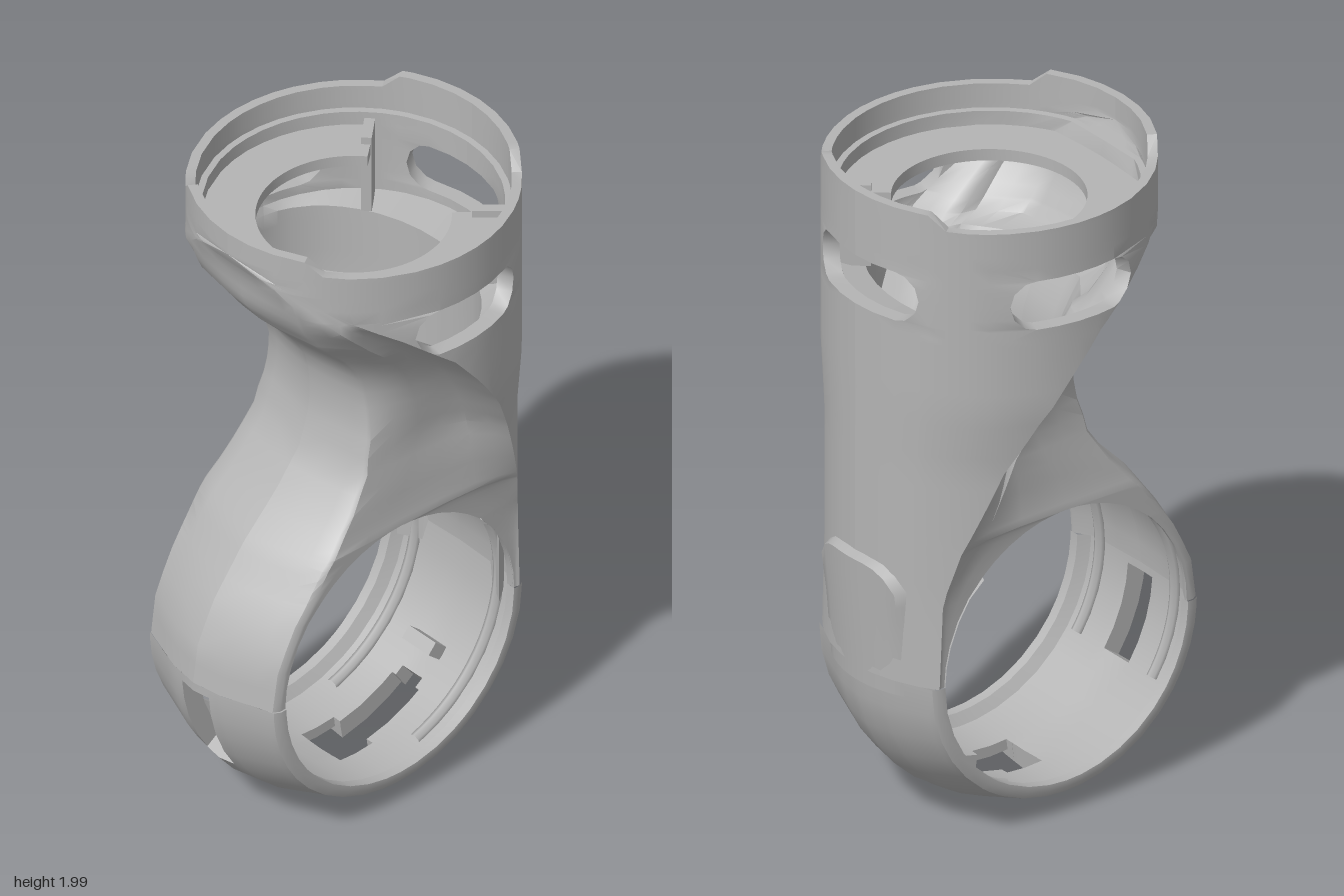
import * as THREE from 'three';
import { toCreasedNormals } from 'three/addons/utils/BufferGeometryUtils.js';

const CX = 0.045, R = 0.465;             // upright tube: axis x and radius
const RX = -0.02, RY = 0.53, RI = 0.42;  // clamp ring: centre and bore radius
const rad = THREE.MathUtils.degToRad, lerp = THREE.MathUtils.lerp;

// Piecewise linear lookup; keys descend
function table(keys, y) {
  if (y >= keys[0][0]) return keys[0][1];
  for (let i = 1; i < keys.length; i++) {
    const [y0, a] = keys[i - 1], [y1, b] = keys[i];
    if (y >= y1) return lerp(b, a, (y - y1) / (y0 - y1));
  }
  return keys[keys.length - 1][1];
}

// Thick wall over a grid of outer and inner points, with holes where solid() is false
function shell(rows, cols, outer, inner, solid, mirror) {
  const pos = [];
  const tri = (a, b, c) => {
    const n = b.clone().sub(a).cross(c.clone().sub(a));
    if (n.length() > 1e-9) [a, b, c].forEach(p => pos.push(p.x, p.y, p.z));
  };
  const quad = (a, b, c, d) => {
    if (mirror) [b, d] = [d, b];
    tri(a, b, c); tri(a, c, d);
  };
  const flip = p => (mirror ? new THREE.Vector3(p.x, p.y, -p.z) : p);
  const P = [], Q = [];
  for (let i = 0; i < rows; i++) {
    P.push([]); Q.push([]);
    for (let j = 0; j < cols; j++) {
      P[i].push(flip(outer(i, j))); Q[i].push(flip(inner(i, j)));
    }
  }
  for (let i = 0; i < rows - 1; i++) for (let j = 0; j < cols - 1; j++) {
    if (!solid(i, j)) continue;
    const k = [[i, j], [i, j + 1], [i + 1, j + 1], [i + 1, j]];
    quad(...k.map(([a, b]) => P[a][b]));
    quad(...k.map(([a, b]) => Q[a][b]).reverse());
    [[i - 1, j], [i, j + 1], [i + 1, j], [i, j - 1]].forEach(([a, b], n) => {
      if (solid(a, b)) return;
      const [s, t] = [k[n], k[(n + 1) % 4]];
      quad(P[t[0]][t[1]], P[s[0]][s[1]], Q[s[0]][s[1]], Q[t[0]][t[1]]);
    });
  }
  const g = new THREE.BufferGeometry();
  g.setAttribute('position', new THREE.Float32BufferAttribute(pos, 3));
  return toCreasedNormals(g, rad(38));
}

// Body curves by height: scoop edge, throat outline, throat half-width, side half-width
const EDGE = [[1.93, -0.42], [1.87, -0.36], [1.79, -0.25], [1.72, -0.14], [1.6, 0.01], [1.48, 0.11],
  [1.35, 0.2], [1.2, 0.28], [1.07, 0.33], [0.95, 0.375], [0.8, 0.41], [0.53, 0.42]];
const LEFT = [[1.93, -0.42], [1.86, -0.385], [1.74, -0.365], [1.65, -0.3], [1.52, -0.175], [1.45, -0.135],
  [1.38, -0.118], [1.27, -0.118], [1.15, -0.155], [1.04, -0.24], [0.92, -0.36], [0.77, -0.475], [0.65, -0.53], [0.53, -0.547]];
const THROAT = [[1.74, 0.22], [1.4, 0.2], [1.1, 0.24], [0.95, 0.265], [0.53, 0.265]];
const SIDE = [[1.8, 0.33], [1.6, 0.31], [1.4, 0.265], [1.2, 0.24], [1.0, 0.255], [0.95, 0.265], [0.53, 0.265]];
const FLAT = [[1.4, 0.99], [1.2, 0.93], [0.95, 0.93], [0.8, 0.93], [0.53, 0.964]];
const BORE = [[1.881, 0.94], [1.88, 0.9], [1.62, 0.9], [1.6, 0.66], [0.53, 0.66]];
// Barrel profile of the ring and its recessed inside: [z, radius]
const BARREL = [[0.265, 0.44], [0.255, 0.458], [0.2, 0.477], [0.1, 0.512], [0, 0.527]];
const RECESS = [[0.235, RI], [0.215, 0.452], [0, 0.46]];

const ROWS = [2, 1.94, 1.93, 1.9, 1.881, 1.88, 1.84, 1.8, 1.793, 1.765, 1.725, 1.685, 1.657, 1.65, 1.62, 1.6, 1.55,
  1.5, 1.45, 1.4, 1.35, 1.3, 1.25, 1.2, 1.15, 1.1, 1.05, 1, 0.97, 0.95, 0.948, 0.94, 0.925, 0.9, 0.87, 0.841, 0.83,
  0.78, 0.72, 0.65, 0.59, 0.53];
const ARC = [0, 9, 18.5, 28, 31.5, 38, 46, 53, 60, 69.5, 77, 85, 93, 100.5, 110, 122, 133, 142, 148.5, 160, 170, 180];
const NA = ARC.length, GAP = NA + 3;      // GAP: last column before the ring opening
const NC = NA + 4 + 2 + 5;
const WINDOWS = [[0, 28], [60, 110]];
const chord = (r, y) => Math.sqrt(Math.max(0, r * r - (y - RY) ** 2));

function bodyOuter(i, j) {
  const y = ROWS[i];
  const e = table(EDGE, y), l = table(LEFT, y), s = table(FLAT, y);
  const aEnd = Math.acos(THREE.MathUtils.clamp((e - CX) / R, -1, 1));
  if (j < NA) {
    let a = ARC[j];
    // Rounded window ends
    if (y <= 1.8 && y >= 1.65) {
      const b = (0.075 - Math.sqrt(Math.max(0, 0.075 ** 2 - (y - 1.725) ** 2))) / R * 180 / Math.PI;
      if (a === 28 || a === 110) a -= b;
      if (a === 60) a += b;
    }
    a = Math.min(rad(a), aEnd);
    // Raised lips at both ends of the rim
    const h = i ? y : table([[0.62, 1.955], [0.52, 2]], Math.sin(a));
    return new THREE.Vector3(CX + R * Math.cos(a), h, R * s * Math.sin(a));
  }
  // Scooped surfaces never reach outside the tube
  const V = (x, z) => {
    const limit = y > 1.4 ? 0.99 * Math.sqrt(Math.max(0, R * R - (x - CX) ** 2)) : 1;
    return new THREE.Vector3(x, y, Math.min(z, limit));
  };
  const w = R * s * Math.sin(aEnd), zs = Math.min(table(SIDE, y), w * 0.98);
  const t = Math.min(table(THROAT, y), zs);
  const half = chord(RI, y);
  const mid = lerp(RX, (e + l) / 2, THREE.MathUtils.smoothstep(y, 0.95, 1.25));
  const hR = y < 0.95 ? RX + half : mid, hL = y < 0.95 ? RX - half : mid;
  const n = j - NA;
  if (n < 4) {                            // scooped side down to the opening
    const u = [0.12, 0.3, 0.6, 1][n], d = [0.38, 0.74, 0.94, 1][n];
    return V(lerp(e, hR, u), lerp(w, zs, d));
  }
  const c = table([[1.9, 0], [1.75, 0.4], [1.2, 0.4], [0.8, 1], [0.53, 1]], y);
  const face = k => V(l + c * (0.527 - BARREL[k][1]), t * BARREL[k][0] / 0.265);
  if (n === 4) return V(hL, zs);
  if (n === 5) return V(lerp(hL, face(0).x, 0.5), lerp(zs, t, 0.5));
  return face(n - 6);
}

function bodyInner(i, j) {
  const y = ROWS[i], p = bodyOuter(i, j), k = table(BORE, y);
  const half = chord(table(RECESS, p.z), y);
  const q = new THREE.Vector3(CX + (p.x - CX) * k, p.y, p.z * Math.max(k, 0.87));
  if (y < 0.95 && j > GAP) q.set(RX - half, y, p.z);
  else if (y < 0.84) q.set(RX + half, y, p.z);
  else if (y < 0.95) q.x = Math.max(q.x, RX + chord(RI, y));
  return q;
}

function bodySolid(i, j) {
  if (i < 0) return false;
  if (j < 0 || j >= NC - 1 || i >= ROWS.length - 1) return true;
  if (j === GAP) return ROWS[i + 1] >= 0.95;
  const inWindow = ROWS[i] <= 1.8 && ROWS[i + 1] >= 1.65;
  return !(inWindow && j < NA - 1 && WINDOWS.some(([a, b]) => ARC[j] >= a && ARC[j + 1] <= b));
}

// Lower half of the clamp ring, with slots
const PHI = [180, 183, 190, 198, 207, 215, 224, 234, 244, 254, 262.9, 263, 270, 278, 278.1, 288, 298, 304, 308, 318, 328, 338, 349, 360];
const ZS = [0.265, 0.255, 0.235, 0.215, 0.2, 0.14, 0.1, 0.08, 0.055, 0.04, 0];
const ZZ = [...ZS, ...ZS.slice(0, -1).reverse().map(z => -z)];
const onRing = (r, deg, z) => new THREE.Vector3(RX + r * Math.cos(rad(deg)), RY + r * Math.sin(rad(deg)), z);
function ringOuter(i, j) {
  let r = table(BARREL, Math.abs(ZZ[j]));
  if (PHI[i] >= 263 && PHI[i] <= 278) r = Math.min(r, 0.49);
  return onRing(r, PHI[i], ZZ[j]);
}
const ringInner = (i, j) => onRing(table(RECESS, Math.abs(ZZ[j])), PHI[i], ZZ[j]);
function ringSolid(i, j) {
  if (j < 0 || j >= ZZ.length - 1) return false;
  if (i < 0 || i >= PHI.length - 1) return true;
  const z = Math.max(Math.abs(ZZ[j]), Math.abs(ZZ[j + 1]));
  const hit = (a, b, w) => PHI[i] >= a && PHI[i + 1] <= b && z <= w;
  return !(hit(183, 215, 0.055) || hit(262.9, 304, 0.055) || hit(304, 308, 0.04) || hit(263, 278, 0.08));
}

export function createModel() {
  const group = new THREE.Group();
  const grey = new THREE.MeshStandardMaterial({ color: 0xb4b4b4 });
  grey.name = 'grey';
  const add = (name, geo, x = 0, y = 0, z = 0) => {
    const m = new THREE.Mesh(geo, grey);
    m.name = name;
    m.position.set(x, y, z);
    group.add(m);
    return m;
  };

  // Tube and scooped neck, one half per side
  add('frontBody', shell(ROWS.length, NC, bodyOuter, bodyInner, bodySolid, false));
  add('backBody', shell(ROWS.length, NC, bodyOuter, bodyInner, bodySolid, true));
  add('lowerRing', shell(PHI.length, ZZ.length, ringOuter, ringInner, ringSolid, false));

  // C-shaped seat inside the rim
  const seat = new THREE.Shape();
  seat.absarc(0, 0, 0.418, rad(40), rad(320), false);
  seat.absarc(0, 0, 0.27, rad(320), rad(40), true);
  const seatGeo = new THREE.ExtrudeGeometry(seat, { depth: 0.035, bevelEnabled: false, curveSegments: 40 });
  add('seat', toCreasedNormals(seatGeo.rotateX(-Math.PI / 2), rad(32)), CX, 1.802, 0);

  // Raised pad on the outer side, wrapped around the tube and fading out downwards
  const pad = new THREE.BoxGeometry(0.08, 0.44, 0.42, 1, 6, 10);
  const p = pad.attributes.position;
  for (let i = 0; i < p.count; i++) {
    let x = p.getX(i), y = p.getY(i), z = p.getZ(i);
    const v = y / 0.22, u = z / 0.21;
    if (v > 0) y -= 0.08 * u ** 4 * v;
    if (x > 0) { y *= 0.9; z *= 0.78; x -= 0.034 * (1 - v) / 2; }
    p.setXYZ(i, x - z * z * 1.5, y, z);
  }
  add('sidePad', toCreasedNormals(pad, rad(50)), 0.5, 0.68, 0);

  for (const s of [1, -1]) {
    // Upright ribs between the windows
    const rib = add('wallRib', new THREE.BoxGeometry(0.1, 0.25, 0.03), CX + 0.375 * Math.cos(rad(42)), 1.735, s * 0.375 * Math.sin(rad(42)));
    rib.rotation.y = -s * rad(42);
    // Curved guide rails inside the ring
    for (const [a, b] of [[145, 215], [288, 385]]) {
      const rail = add('guideRail', new THREE.TorusGeometry(0.45, 0.018, 6, 20, rad(b - a)), RX, RY, s * 0.17);
      rail.rotation.z = rad(a);
    }
  }
  const stop = add('ringStop', new THREE.BoxGeometry(0.06, 0.04, 0.11), RX + 0.435 * Math.cos(rad(319)), RY + 0.435 * Math.sin(rad(319)), 0);
  stop.rotation.z = rad(319);
  return group;
}
